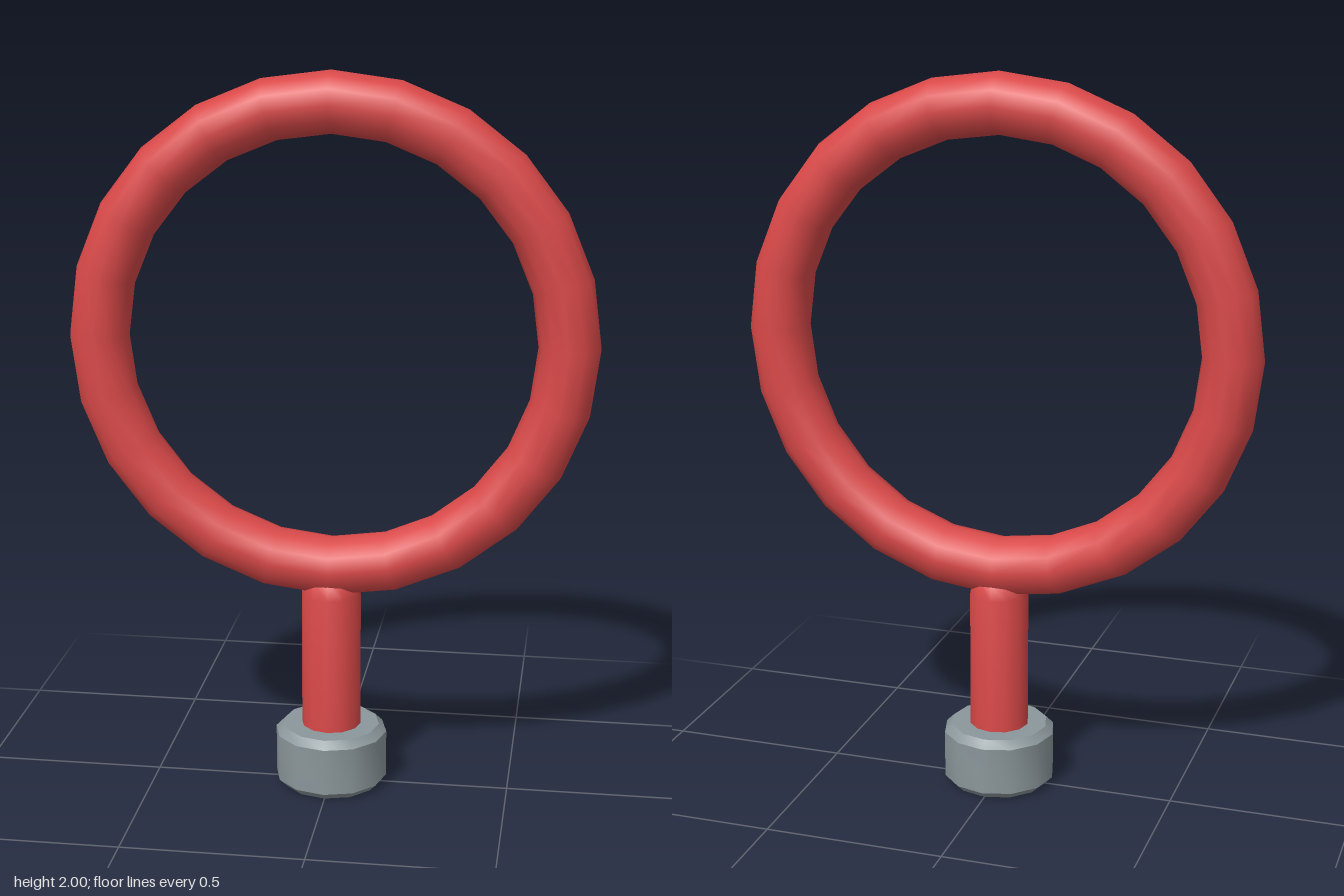
import * as THREE from 'three';
import { toCreasedNormals } from 'three/addons/utils/BufferGeometryUtils.js';

const SIDES = 12;

// Turned part from [radius, height] pairs, listed bottom to top
function turned(name, profile, material, crease) {
  const points = profile.map(([r, y]) => new THREE.Vector2(r, y));
  const geometry = toCreasedNormals(new THREE.LatheGeometry(points, SIDES), crease);
  const mesh = new THREE.Mesh(geometry, material);
  mesh.name = name;
  return mesh;
}

export function createModel() {
  const red = new THREE.MeshStandardMaterial({ color: 0xd94848 });
  red.name = 'red';
  const grey = new THREE.MeshStandardMaterial({ color: 0x8b979b });
  grey.name = 'steel grey';

  const model = new THREE.Group();
  model.name = 'ringOnStem';

  // Large upright ring
  const ring = new THREE.Mesh(new THREE.TorusGeometry(0.637, 0.083, SIDES, 24), red);
  ring.name = 'ring';
  ring.position.y = 1.28;
  model.add(ring);

  // Stem with a domed top sunk into the ring
  model.add(turned('stem', [
    [0, 0.1], [0.083, 0.1], [0.083, 0.565], [0.072, 0.605], [0.042, 0.635], [0, 0.646],
  ], red, 0.7));

  // Bevelled foot
  model.add(turned('foot', [
    [0, 0], [0.136, 0], [0.157, 0.021], [0.157, 0.154], [0.136, 0.175], [0, 0.175],
  ], grey, 0.7));

  return model;
}
